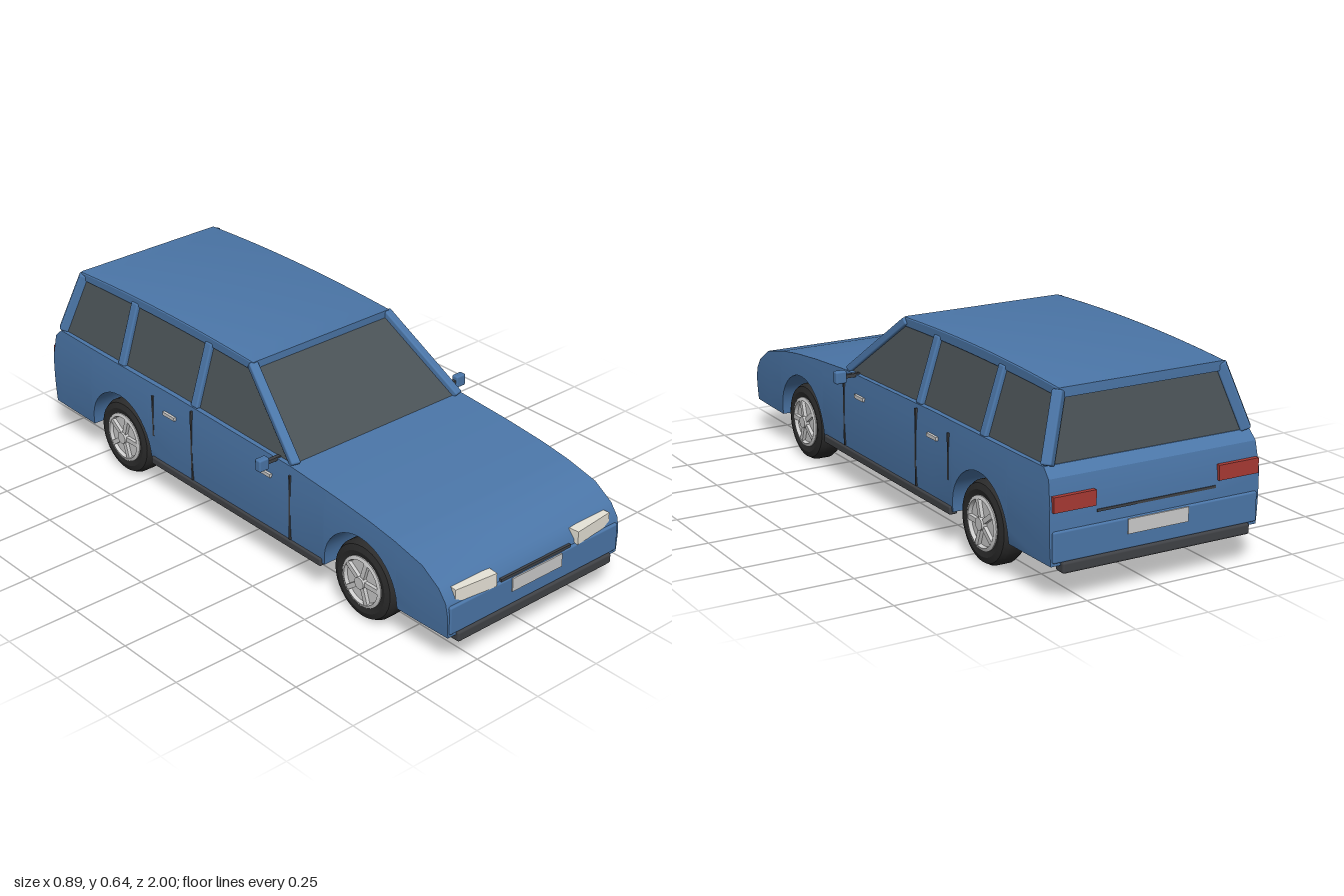
import * as THREE from 'three';
import { toCreasedNormals } from 'three/addons/utils/BufferGeometryUtils.js';
import { RoundedBoxGeometry } from 'three/addons/geometries/RoundedBoxGeometry.js';

const mat = (color) => new THREE.MeshStandardMaterial({ color });
const paint = mat(0x4b76a8), glass = mat(0x4a5256), rubber = mat(0x2b2b2b), trim = mat(0x404246);
const metal = mat(0xcccccc), lamp = mat(0xe8e4d8), red = mat(0xa83a34);
const V = (x, y, z) => new THREE.Vector3(x, y, z);

const WHEEL_Y = 0.135, AXLES = [0.61, -0.595], ARCH = 0.163, FLOOR = 0.12;

// Upper outline of the lower body as [z, y]
const OUTLINE = [[-0.985, 0.3], [-0.97, 0.38], [-0.94, 0.41], [-0.3, 0.41], [0.29, 0.4], [0.5, 0.385],
  [0.65, 0.37], [0.76, 0.353], [0.88, 0.325], [0.95, 0.28], [0.98, 0.24], [0.988, 0.2]];

function topAt(z) {
  const i = Math.max(1, OUTLINE.findIndex((p) => p[0] >= z));
  const [z0, y0] = OUTLINE[i - 1], [z1, y1] = OUTLINE[i];
  return y0 + (y1 - y0) * (z - z0) / (z1 - z0);
}

// Loft from ring sections; rings run counter-clockwise seen from the front, rear to front
function loft(rings, crease) {
  const n = rings[0].length, idx = [], last = (rings.length - 1) * n;
  for (let s = 0; s < rings.length - 1; s++) {
    for (let k = 0; k < n; k++) {
      const a = s * n + k, b = s * n + (k + 1) % n;
      idx.push(a, b, b + n, a, b + n, a + n);
    }
  }
  for (let k = 1; k < n - 1; k++) {
    idx.push(0, k + 1, k);
    idx.push(last, last + k, last + k + 1);
  }
  const g = new THREE.BufferGeometry();
  g.setAttribute('position', new THREE.Float32BufferAttribute(rings.flat().flatMap((p) => p.toArray()), 3));
  g.setIndex(idx);
  return toCreasedNormals(g, crease);
}

// Lower body with wheel arches running across its full width
function bodyGeometry() {
  const stations = OUTLINE.filter(([z]) => AXLES.every((c) => Math.abs(z - c) > ARCH)).map(([z]) => [z, FLOOR]);
  for (const c of AXLES) {
    stations.push([c - ARCH - 0.0005, FLOOR], [c + ARCH + 0.0005, FLOOR]);
    for (let i = 0; i <= 20; i++) {
      const a = Math.PI * i / 20;
      stations.push([c - ARCH * Math.cos(a), WHEEL_Y + ARCH * Math.sin(a)]);
    }
  }
  stations.sort((p, q) => p[0] - q[0]);
  const rows = 6;
  return loft(stations.map(([z, low]) => {
    const right = [];
    for (let j = 0; j <= rows; j++) {
      const y = low + (topAt(z) - low) * j / rows;
      right.push(V(0.377 - 0.35 * (y - 0.25) ** 2 - 0.006 * z ** 6, y, z));
    }
    return [...right, ...right.map((p) => V(-p.x, p.y, p.z)).reverse()];
  }), 0.5);
}

// Four-spoke-sided wheel parts share one lathe helper, turned about x
function lathe(points, crease) {
  const g = new THREE.LatheGeometry(points.map(([r, x]) => new THREE.Vector2(r, x)), 36);
  return toCreasedNormals(g.rotateZ(-Math.PI / 2), crease);
}

export function createModel() {
  const car = new THREE.Group();
  car.name = 'estateCar';

  const add = (name, geometry, material, parent = car) => {
    const m = new THREE.Mesh(geometry, material);
    m.name = name;
    parent.add(m);
    return m;
  };
  const box = (name, material, x, y, z, w, h, d, r = 0) => {
    const m = add(name, r ? new RoundedBoxGeometry(w, h, d, 2, r) : new THREE.BoxGeometry(w, h, d), material);
    m.position.set(x, y, z);
    return m;
  };
  // Bar between two points
  const bar = (name, a, b, w, d) => {
    const m = add(name, new RoundedBoxGeometry(w, d, a.distanceTo(b) + 0.01, 2, 0.006), paint);
    m.position.copy(a).add(b).multiplyScalar(0.5);
    m.lookAt(b);
  };

  add('lowerBody', bodyGeometry(), paint);

  // Glasshouse
  const ring = (z0, z1) => [V(0.355, 0.395, z0), V(0.285, 0.615, z1), V(-0.285, 0.615, z1), V(-0.355, 0.395, z0)];
  add('glasshouse', loft([ring(-0.94, -0.892), ring(0.287, 0.005)], 0.1), glass);

  // Roof panel, gently arched from front to rear
  const roof = new THREE.Shape();
  roof.moveTo(0.012, 0.603);
  roof.lineTo(0.012, 0.626);
  roof.quadraticCurveTo(-0.45, 0.65, -0.9, 0.619);
  roof.lineTo(-0.9, 0.598);
  roof.quadraticCurveTo(-0.45, 0.62, 0.012, 0.603);
  const roofGeo = new THREE.ExtrudeGeometry(roof, { depth: 0.57, curveSegments: 16,
    bevelSize: 0.005, bevelThickness: 0.008, bevelSegments: 2 });
  roofGeo.translate(0, 0, -0.285).rotateY(-Math.PI / 2);
  add('roof', toCreasedNormals(roofGeo, 0.5), paint);

  for (const s of [1, -1]) {
    // Pillars
    bar('frontPillar', V(s * 0.349, 0.402, 0.283), V(s * 0.286, 0.618, 0.008), 0.032, 0.026);
    bar('rearPillar', V(s * 0.35, 0.415, -0.938), V(s * 0.286, 0.61, -0.893), 0.034, 0.034);
    for (const z of [-0.203, -0.595]) {
      bar('sidePillar', V(s * 0.354, 0.41, z), V(s * 0.289, 0.612, z), 0.034, 0.022);
    }

    // Doors and sills
    for (const [z, y0, y1] of [[0.287, 0.14, 0.37], [-0.205, 0.14, 0.395], [-0.41, 0.22, 0.37]]) {
      box('doorGap', trim, s * 0.37, (y0 + y1) / 2, z, 0.0155, y1 - y0, 0.007);
    }
    for (const z of [0.17, -0.317]) box('doorHandle', metal, s * 0.374, 0.333, z, 0.018, 0.012, 0.06);
    box('sill', trim, s * 0.365, 0.123, 0.005, 0.03, 0.028, 0.86, 0.006);

    // Mirrors
    box('mirrorArm', trim, s * 0.385, 0.4, 0.215, 0.06, 0.012, 0.014);
    box('mirror', paint, s * 0.425, 0.4, 0.215, 0.04, 0.042, 0.026, 0.006);

    // Lamps
    box('headlight', lamp, s * 0.252, 0.248, 0.97, 0.157, 0.046, 0.036).rotation.y = s * 0.1;
    box('tailLight', red, s * 0.29, 0.308, -0.982, 0.145, 0.048, 0.024);
  }

  // Nose and tail details
  for (const s of [1, -1]) {
    const end = s > 0 ? 'front' : 'rear';
    box(end + 'Bumper', paint, 0, 0.178, s * 0.975, 0.724, 0.096, 0.036, 0.006);
    box(end + 'BumperStrip', trim, 0, 0.114, s * 0.978, 0.666, 0.036, 0.044, 0.008);
    box(end + 'Plate', metal, 0, 0.2, s * 0.99, 0.214, 0.046, 0.014);
  }
  box('grilleSlot', trim, 0, 0.23, 0.982, 0.3, 0.01, 0.016);
  box('tailgateGap', trim, 0, 0.265, -0.981, 0.42, 0.008, 0.014);

  // Wheels, built around the x axis
  const tyre = lathe([[0.086, -0.04], [0.105, -0.045], [0.124, -0.039], [0.133, -0.022], [0.133, 0.022],
    [0.124, 0.039], [0.105, 0.045], [0.086, 0.04], [0.083, 0], [0.086, -0.04]], 0.5);
  const rim = lathe([[0, -0.036], [0.072, -0.036], [0.076, -0.048], [0.087, -0.044], [0.087, 0.044],
    [0.076, 0.048], [0.072, 0.036], [0, 0.036]], 0.4);
  const hub = new THREE.CylinderGeometry(0.02, 0.02, 0.11, 20).rotateZ(Math.PI / 2);
  const spoke = new THREE.BoxGeometry(0.096, 0.062, 0.016).translate(0, 0.044, 0);
  for (const z of AXLES) {
    for (const s of [1, -1]) {
      const wheel = new THREE.Group();
      wheel.name = z > 0 ? 'frontWheel' : 'rearWheel';
      wheel.position.set(s * 0.322, WHEEL_Y - 0.002, z);
      car.add(wheel);
      add('tyre', tyre, rubber, wheel);
      add('rim', rim, metal, wheel);
      add('hub', hub, metal, wheel);
      for (let i = 0; i < 5; i++) add('spoke', spoke, metal, wheel).rotation.x = i * Math.PI * 0.4 + 0.3;
    }
  }
  return car;
}
